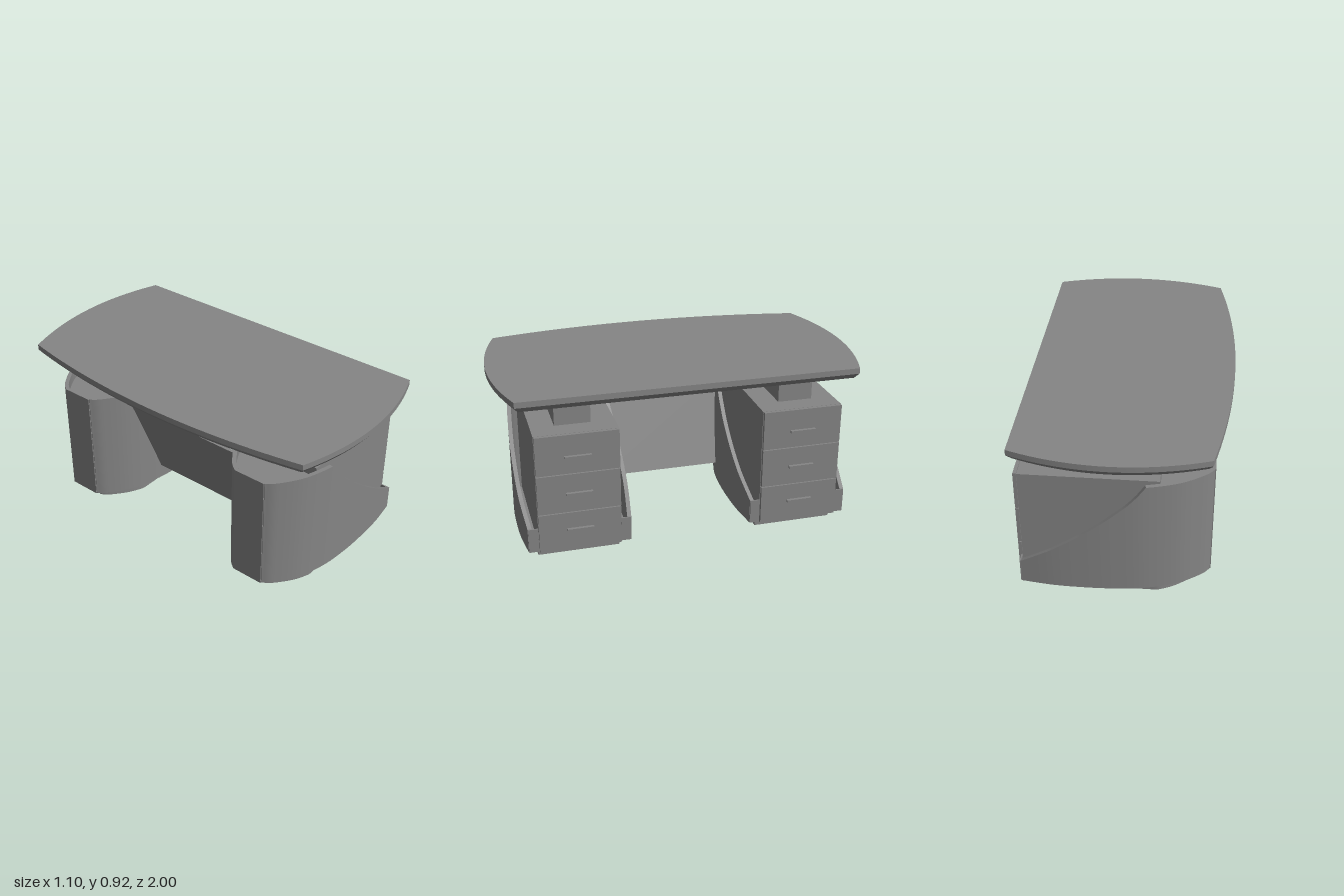
import * as THREE from 'three';
import { toCreasedNormals } from 'three/addons/utils/BufferGeometryUtils.js';

const material = new THREE.MeshStandardMaterial({ color: 0x858585 });
const shellMaterial = new THREE.MeshStandardMaterial({ color: 0x858585, side: THREE.DoubleSide });

function add(parent, name, geometry, mat = material) {
  const mesh = new THREE.Mesh(geometry, mat);
  mesh.name = name;
  parent.add(mesh);
  return mesh;
}

// Box given by its limits on each axis
function box(parent, name, x0, x1, y0, y1, z0, z1) {
  const mesh = add(parent, name, new THREE.BoxGeometry(x1 - x0, y1 - y0, z1 - z0));
  mesh.position.set((x0 + x1) / 2, (y0 + y1) / 2, (z0 + z1) / 2);
  return mesh;
}

// Horizontal slab from a plan outline
function slab(shape, y0, y1) {
  const geo = new THREE.ExtrudeGeometry(shape, { depth: y1 - y0, bevelEnabled: false, curveSegments: 24 });
  return toCreasedNormals(geo.rotateX(-Math.PI / 2).translate(0, y0, 0), 0.4);
}

// Half-width of the pedestal plan along x
const plan = new THREE.SplineCurve([
  [-0.465, 0.095], [-0.42, 0.145], [-0.3, 0.222], [-0.135, 0.274],
  [0.03, 0.294], [0.19, 0.299], [0.35, 0.294], [0.51, 0.275],
].map(([x, z]) => new THREE.Vector2(x, z))).getPoints(56);

// Closed outline from plan points, with x and half-width mapped by rules
function planShape(points, mapX, mapZ) {
  const side = points.map(p => new THREE.Vector2(mapX(p.x), mapZ(p.y)));
  const other = side.map(p => new THREE.Vector2(p.x, -p.y)).reverse();
  return new THREE.Shape([...other, ...side]);
}

// Sweeping cut along the top of the side shells
const cut = [[-0.135, 0.715], [-0.09, 0.655], [-0.04, 0.6], [0.08, 0.495], [0.2, 0.4], [0.35, 0.295], [0.51, 0.195]];
function cutHeight(x) {
  if (x <= cut[0][0]) return cut[0][1];
  for (let i = 1; i < cut.length; i++) {
    const [xa, ya] = cut[i - 1], [xb, yb] = cut[i];
    if (x <= xb) return ya + (yb - ya) * (x - xa) / (xb - xa);
  }
  return cut[cut.length - 1][1];
}

// Curved side shell: a rectangular section swept along the plan
function shellGeometry(side) {
  const t = 0.022, y0 = 0.06, pos = [], index = [];
  plan.forEach((p, i) => {
    const a = plan[Math.max(i - 1, 0)], b = plan[Math.min(i + 1, plan.length - 1)];
    const d = b.clone().sub(a).normalize();
    const xi = i === 0 || i === plan.length - 1 ? p.x : p.x + d.y * t;
    const zi = p.y - d.x * t, y1 = cutHeight(p.x);
    pos.push(p.x, y0, side * p.y, p.x, y1, side * p.y, xi, y1, side * zi, xi, y0, side * zi);
  });
  const quad = (a, b, c, d) => index.push(...(side > 0 ? [a, b, c, a, c, d] : [a, c, b, a, d, c]));
  const n = plan.length - 1;
  for (let i = 0; i < n; i++) {
    for (let k = 0; k < 4; k++) {
      const l = (k + 1) % 4;
      quad(i * 4 + k, i * 4 + 4 + k, i * 4 + 4 + l, i * 4 + l);
    }
  }
  quad(0, 1, 2, 3);
  quad(n * 4 + 3, n * 4 + 2, n * 4 + 1, n * 4);
  const geo = new THREE.BufferGeometry();
  geo.setAttribute('position', new THREE.Float32BufferAttribute(pos, 3));
  geo.setIndex(index);
  return toCreasedNormals(geo, 0.5);
}

function createPedestal() {
  const g = new THREE.Group();
  g.name = 'pedestal';
  // Plinth with straight sides and a rounded nose, floor, nose filling
  add(g, 'plinth', slab(planShape(plan, x => -0.405 + (x + 0.465) * 0.877, z => Math.min(0.22, z - 0.03)), 0, 0.06));
  add(g, 'pedestalFloor', slab(planShape(plan, x => x, z => z - 0.005), 0.061, 0.08));
  add(g, 'noseFilling', slab(planShape(plan.filter(p => p.x < -0.18), x => x + 0.005, z => z - 0.015), 0.08, 0.66));
  // Drawer cabinet and block carrying the top
  box(g, 'cabinet', -0.2, 0.51, 0.062, 0.715, -0.22, 0.22);
  box(g, 'topSupport', -0.16, 0.4, 0.715, 0.858, -0.095, 0.095);
  // Shells with their end pieces
  for (const side of [1, -1]) {
    add(g, 'sideShell', shellGeometry(side), shellMaterial);
    const cap = box(g, 'shellEndCap', 0.51, 0.517, 0.06, 0.195, -0.026, 0.026);
    cap.position.z = side * 0.247;
  }
  box(g, 'nosePanel', -0.47, -0.45, 0.06, 0.715, -0.092, 0.092);
  // Three drawers with bar handles
  for (let i = 0; i < 3; i++) {
    const y = 0.06 + i * 0.22, h = 0.178 + i * 0.208;
    box(g, 'drawerFront', 0.512, 0.53, y, y + 0.215, -0.218, 0.218);
    box(g, 'drawerHandle', 0.529, 0.547, h - 0.007, h + 0.007, -0.07, 0.07);
  }
  return g;
}

export function createModel() {
  const model = new THREE.Group();
  model.name = 'desk';

  // Bowed desk top with a chamfered underside
  const outline = new THREE.Shape();
  outline.moveTo(0.535, -0.91);
  outline.lineTo(0.535, 0.91);
  outline.quadraticCurveTo(0.04, 1.09, -0.455, 0.91);
  outline.quadraticCurveTo(-0.645, 0, -0.455, -0.91);
  outline.quadraticCurveTo(0.04, -1.09, 0.535, -0.91);
  add(model, 'deskTop', slab(outline, 0.887, 0.918));
  const chamfer = slab(outline, 0.857, 0.887);
  const p = chamfer.attributes.position;
  for (let i = 0; i < p.count; i++) {
    if (p.getY(i) < 0.87) {
      p.setX(i, -0.0075 + (p.getX(i) + 0.0075) * 0.955);
      p.setZ(i, p.getZ(i) * 0.978);
    }
  }
  add(model, 'deskTopChamfer', toCreasedNormals(chamfer, 0.4));

  // Two pedestals
  for (const side of [1, -1]) {
    const pedestal = createPedestal();
    pedestal.position.z = side * 0.607;
    model.add(pedestal);
  }

  // Slanted panel between the pedestals
  const panel = new THREE.Shape([[-0.1, 0.145], [-0.08, 0.145], [-0.255, 0.64], [-0.275, 0.64]]
    .map(q => new THREE.Vector2(...q)));
  add(model, 'modestyPanel', new THREE.ExtrudeGeometry(panel, { depth: 0.75, bevelEnabled: false }).translate(0, 0, -0.375));
  return model;
}
